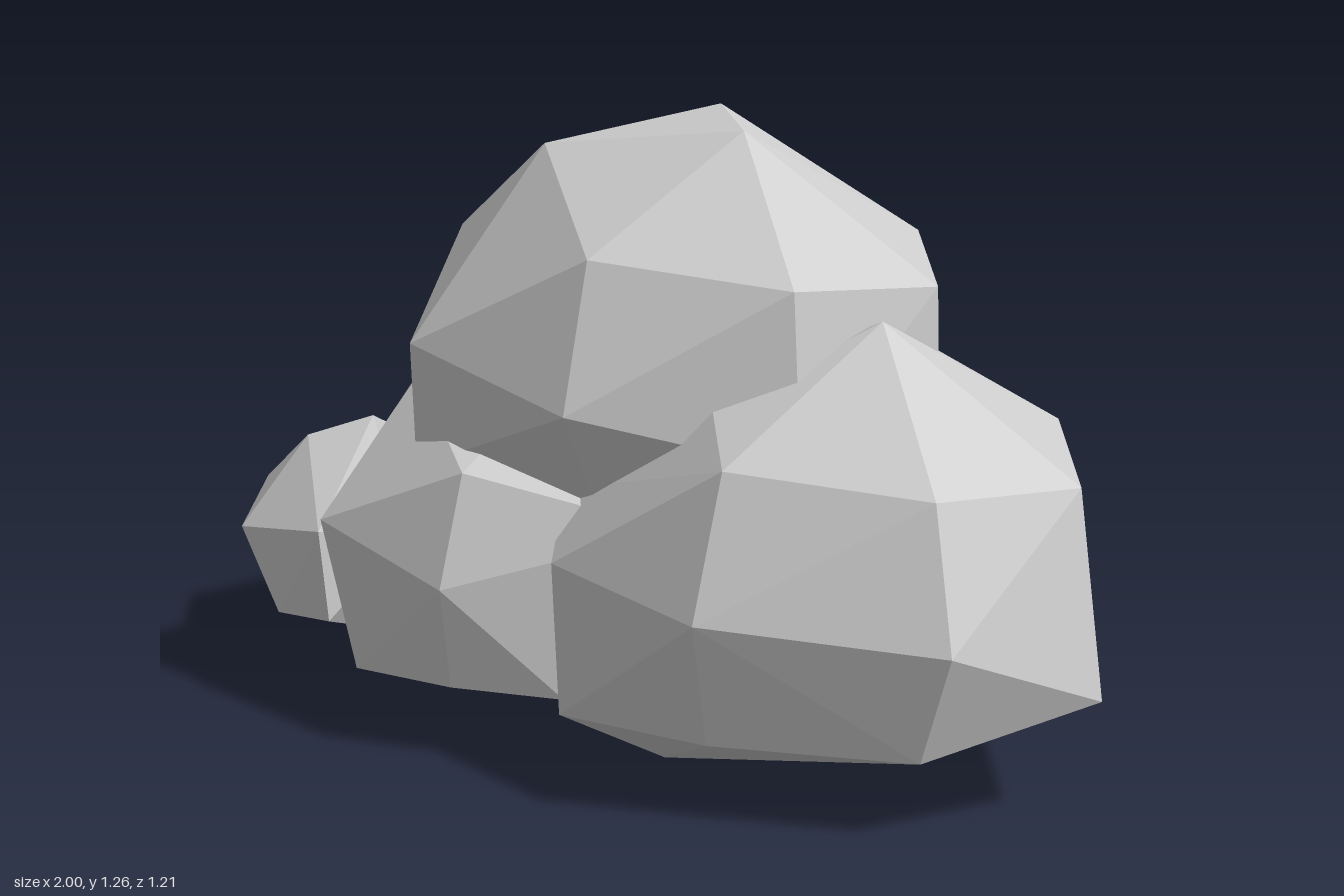
import * as THREE from 'three';
import { ConvexGeometry } from 'three/addons/geometries/ConvexGeometry.js';

const material = new THREE.MeshStandardMaterial({ color: 0xcccccc, flatShading: true });

// A faceted puff: the convex hull of a few rings of corner points, top to bottom.
function puff(name, rings) {
  const points = rings.flat().map((p) => new THREE.Vector3(...p));
  const mesh = new THREE.Mesh(new ConvexGeometry(points), material);
  mesh.name = name;
  return mesh;
}

export function createModel() {
  const group = new THREE.Group();
  group.name = 'cloud';

  group.add(puff('topPuff', [
    // crown
    [[-0.04, 1.265, -0.28], [0.13, 1.25, -0.04], [-0.31, 1.2, 0], [-0.04, 1.03, 0.31]],
    // shoulder
    [[-0.02, 0.965, -0.605], [0.37, 1.01, -0.39], [0.55, 0.965, -0.06], [0.37, 0.99, 0.23],
      [-0.48, 0.81, 0.27], [-0.58, 0.99, -0.11], [-0.42, 1.03, -0.42]],
    // waist
    [[-0.02, 0.52, -0.59], [0.39, 0.55, -0.43], [0.57, 0.6, -0.04], [0.41, 0.65, 0.28],
      [-0.03, 0.74, 0.43], [-0.47, 0.55, 0.27], [-0.64, 0.6, -0.06], [-0.465, 0.55, -0.415]],
    // underside
    [[0, 0.38, -0.42], [0.3, 0.35, -0.2], [0, 0.3, 0.2], [-0.35, 0.38, -0.2]],
  ]));

  group.add(puff('leftPuff', [
    // crown
    [[0.5, 0.92, 0.1], [0.47, 0.83, -0.16], [0.24, 0.76, 0.32], [0.1, 0.74, 0]],
    // shoulder
    [[0.34, 0.69, 0.48], [0.74, 0.66, 0.4], [0.92, 0.64, 0.11], [0.75, 0.68, -0.23],
      [0.38, 0.64, -0.43], [0, 0.5, -0.28], [-0.11, 0.55, 0.28]],
    // waist
    [[0.34, 0.42, 0.605], [0.81, 0.39, 0.48], [1, 0.245, 0.18], [0.81, 0.245, -0.19],
      [0.38, 0.2, -0.4], [-0.06, 0.44, 0.43], [-0.1, 0.3, 0.1]],
    // underside
    [[0.34, 0.165, 0.545], [0.74, 0.165, 0.45], [-0.04, 0.13, 0.44], [0.13, 0.025, 0.31],
      [0.46, 0.005, 0.07], [0.05, 0.12, -0.15]],
  ]));

  group.add(puff('middlePuff', [
    // crown
    [[-0.57, 0.7, 0.1], [-0.28, 0.68, 0.12], [-0.28, 0.59, 0.4], [-0.25, 0.65, -0.2]],
    // shoulder
    [[-0.66, 0.43, 0.35], [-0.74, 0.5, 0.04], [-0.66, 0.45, -0.21], [-0.25, 0.43, -0.51],
      [0.15, 0.4, -0.4], [0.15, 0.5, 0.3]],
    // waist
    [[-0.28, 0.37, 0.495], [-0.28, 0.155, 0.46], [-0.58, 0.115, 0.35], [-0.04, 0.155, 0.42],
      [-0.65, 0.2, -0.15], [-0.25, 0.29, -0.51], [-0.25, 0.18, -0.48], [0.15, 0.15, -0.3]],
    // underside
    [[-0.48, 0.035, 0.12], [-0.14, 0.02, -0.05], [0.05, 0.08, 0.2]],
  ]));

  group.add(puff('smallPuff', [
    // crown
    [[-0.83, 0.545, 0.14], [-0.7, 0.59, 0.08], [-0.7, 0.5, -0.1]],
    // waist
    [[-0.96, 0.43, 0.11], [-0.92, 0.36, 0.27], [-0.67, 0.4, 0.345], [-0.91, 0.38, -0.05],
      [-1, 0.245, 0.12], [-0.6, 0.35, 0.1]],
    // underside
    [[-0.81, 0.19, 0.3], [-0.66, 0.2, 0.33], [-0.9, 0.2, -0.03], [-0.7, 0.25, -0.14],
      [-0.71, 0.12, 0.12]],
  ]));

  return group;
}
